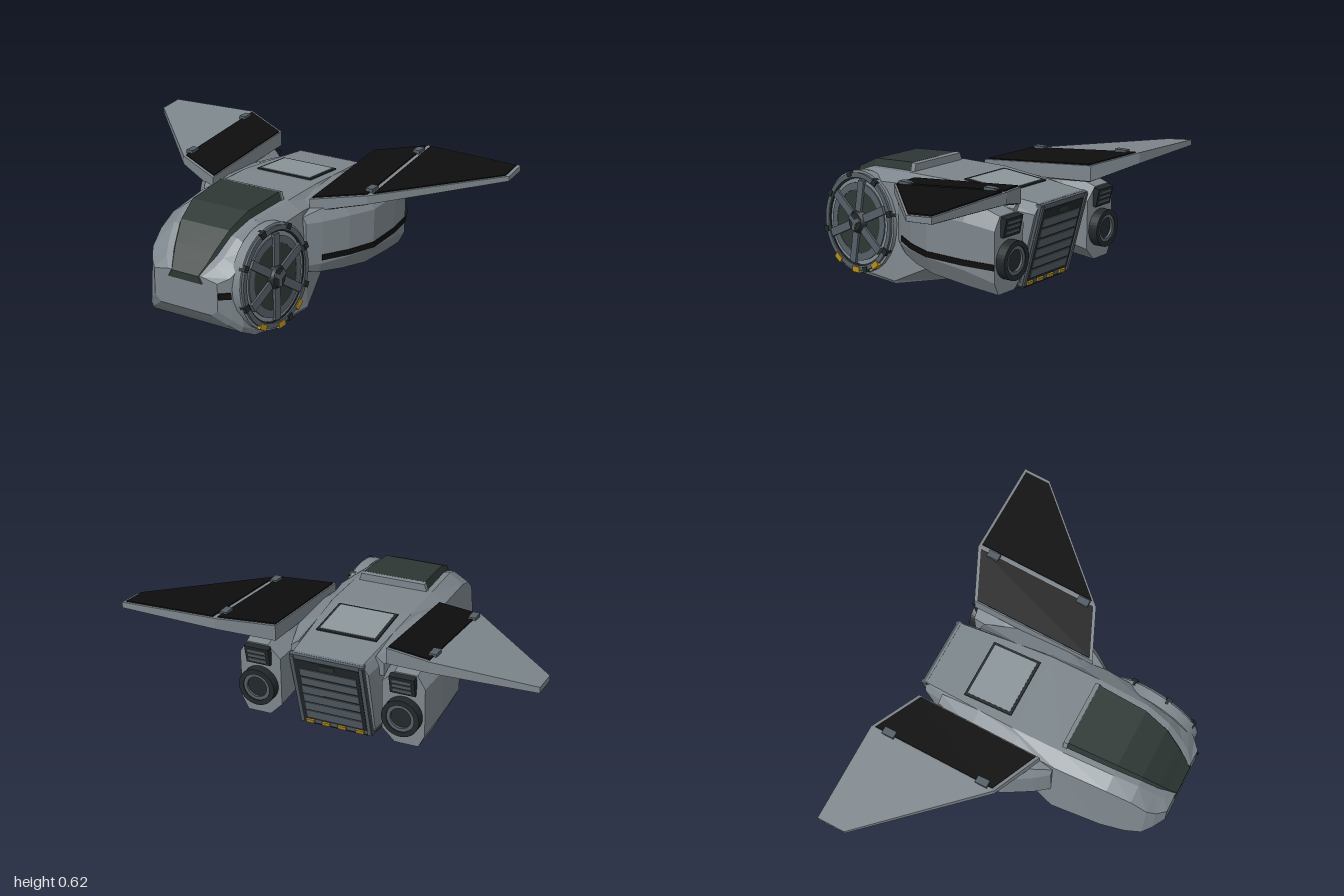
import * as THREE from 'three';

const mat = (name, color) => Object.assign(new THREE.MeshStandardMaterial({ color }), { name });
const HULL = mat('hull grey', 0x7d868c), LIGHT = mat('light panel', 0x8b959b), TRIM = mat('trim grey', 0x545d65);
const DARK = mat('dark metal', 0x22282a), GLASS = mat('dark green', 0x2d3734), BLACK = mat('black', 0x0d0d0d);
const YELLOW = mat('warning yellow', 0xb08a20);

function add(parent, name, geo, material, x = 0, y = 0, z = 0) {
  const m = new THREE.Mesh(geo, material);
  m.name = name;
  m.position.set(x, y, z);
  parent.add(m);
  return m;
}

// Flat-faced skin through rings; each ring runs counter-clockwise seen from the first end
function loft(rings) {
  const out = [], n = rings[0].length;
  const tri = (...p) => p.forEach(v => out.push(...v));
  for (let r = 0; r + 1 < rings.length; r++) {
    for (let i = 0; i < n; i++) {
      const j = (i + 1) % n, [a, b] = [rings[r], rings[r + 1]];
      tri(a[i], b[i], a[j]);
      tri(a[j], b[i], b[j]);
    }
  }
  const first = rings[0], last = rings[rings.length - 1];
  for (let i = 1; i < n - 1; i++) {
    tri(first[0], first[i], first[i + 1]);
    tri(last[0], last[i + 1], last[i]);
  }
  const g = new THREE.BufferGeometry();
  g.setAttribute('position', new THREE.Float32BufferAttribute(out, 3));
  g.computeVertexNormals();
  return g;
}

// Mirror a ring to the side s (+1 or -1)
const side = (s, ring) => s > 0 ? ring : ring.map(([x, y, z]) => [-x, y, z]).reverse();

// Thin plate over a polygon, shrunk by k toward its middle
function plate(pts, k = 0, t = 0.006) {
  const c = [0, 1, 2].map(a => pts.reduce((s, p) => s + p[a], 0) / pts.length);
  const base = pts.map(p => p.map((v, a) => v + (c[a] - v) * k));
  const [p, q, r] = base.map(v => new THREE.Vector3(...v));
  const n = q.clone().sub(p).cross(r.clone().sub(p)).normalize().multiplyScalar(t).toArray();
  return loft([base.map(v => v.map((w, a) => w + n[a])), base]);
}

function annulus(ro, ri, depth) {
  const s = new THREE.Shape().absarc(0, 0, ro, 0, Math.PI * 2);
  s.holes.push(new THREE.Path().absarc(0, 0, ri, 0, Math.PI * 2, true));
  return new THREE.ExtrudeGeometry(s, { depth, bevelEnabled: false, curveSegments: 20 });
}
const disc = (r, d) => new THREE.CylinderGeometry(r, r, d, 28).rotateX(Math.PI / 2);
const box = (x, y, z) => new THREE.BoxGeometry(x, y, z);

function buildHull(g) {
  // z, then x/y of bottom edge, lower side, shoulder, roof edge
  const sections = [
    [.68, .14, .15, .17, .18, .17, .31, .09, .325],
    [.64, .20, .10, .22, .13, .21, .33, .13, .365],
    [.60, .24, .06, .255, .09, .235, .37, .15, .40],
    [.52, .265, .02, .275, .05, .245, .43, .17, .475],
    [.40, .285, .01, .295, .03, .26, .47, .19, .52],
    [.14, .305, .005, .315, .02, .275, .49, .2, .53],
    [-.12, .17, .05, .26, .15, .26, .47, .2, .53],
    [-.3, .17, .08, .24, .16, .23, .46, .19, .515],
    [-.5, .17, .09, .19, .12, .195, .44, .17, .487],
  ];
  const rings = sections.map(([z, ...v], k) => {
    const pt = i => [v[i], v[i + 1], k === 8 ? -.5 - (v[i + 1] - .09) * .26 : z];
    const right = [0, 2, 4, 6].map(pt);
    return [...right, ...right.map(([x, y, w]) => [-x, y, w]).reverse()];
  });
  add(g, 'hull', loft(rings), HULL);

  // Raised canopy and its rear frame: z, half width, base y
  const can = (z, w, y, h = .04) => [[-w, y - .03, z], [w, y - .03, z], [w - .02, y + h, z], [-w + .02, y + h, z]];
  add(g, 'canopy', loft([can(.684, .09, .32, .005), can(.64, .11, .36, .012), can(.60, .125, .40, .022),
    can(.52, .15, .475, .025), can(.40, .17, .52, .035), can(.15, .18, .53)]), GLASS);
  add(g, 'canopyRearFrame', loft([can(.152, .185, .53), can(.13, .185, .53, .036)]), HULL);

  // Roof hatch
  const roof = new THREE.Group();
  roof.name = 'roofHatch';
  roof.position.set(0, .517, -.277);
  roof.rotation.x = -.086;
  add(roof, 'hatchFrame', box(.3, .012, .25), DARK);
  add(roof, 'hatchPanel', box(.274, .016, .224), LIGHT);
  g.add(roof);

  // Belly block
  const belly = (z, w, b, t) => [[-w * .75, b, z], [w * .75, b, z], [w, t, z], [-w, t, z]];
  add(g, 'bellyBlock', loft([belly(-.12, .16, .05, .065), belly(-.17, .2, .04, .1),
    belly(-.27, .21, .032, .105), belly(-.43, .2, .048, .11)]), GLASS);
  add(g, 'noseStripe', plate([[.173, .235, .681], [.22, .235, .641], [.216, .265, .641], [.172, .265, .681]]), BLACK);
}

function buildRearRamp(g) {
  const r = new THREE.Group();
  r.name = 'rearRamp';
  r.position.set(0, .287, -.553);
  r.rotation.x = -.255;
  add(r, 'rampFrame', box(.36, .41, .024), TRIM);
  add(r, 'rampRecess', box(.31, .36, .03), DARK);
  for (let i = 0; i < 6; i++) add(r, 'rampSlat', box(.28, .042, .038), TRIM, 0, -.145 + i * .051);
  add(r, 'rampSign', box(.07, .025, .036), GLASS, 0, .158, 0);
  for (const s of [-1, 1]) add(r, 'rampRail', box(.018, .40, .04), TRIM, s * .168);
  for (const x of [-.12, -.03, .05, .13]) add(r, 'warningMark', box(.04, .018, .045), YELLOW, x, -.19);
  g.add(r);
  add(g, 'rampHinge', new THREE.CylinderGeometry(.016, .016, .3, 10).rotateZ(Math.PI / 2), DARK, 0, .085, -.49);
}

function buildSideDoor(g) {
  const d = new THREE.Group();
  d.name = 'roundSideDoor';
  d.position.set(.278, .265, .39);
  d.quaternion.setFromUnitVectors(new THREE.Vector3(0, 0, 1), new THREE.Vector3(1, .085, .105).normalize());
  add(d, 'doorBase', disc(.25, .05), HULL, 0, 0, -.015);
  add(d, 'outerRing', annulus(.238, .215, .022), TRIM);
  add(d, 'rimLine', annulus(.217, .208, .014), DARK);
  add(d, 'innerRing', annulus(.19, .155, .016), TRIM);
  add(d, 'doorWindow', disc(.157, .012), GLASS, 0, 0, .008);
  for (let i = 0; i < 6; i++) {
    add(d, 'spoke', box(.04, .15, .026).translate(0, .128, .013), TRIM).rotation.z = i * Math.PI / 3;
  }
  add(d, 'hub', new THREE.CylinderGeometry(.045, .068, .036, 12).rotateX(Math.PI / 2), DARK, 0, 0, .02);
  for (let i = 0; i < 3; i++) {
    add(d, 'handleBlade', box(.022, .042, .01).translate(0, .02, .04), TRIM).rotation.z = (i * 2 + 1) * Math.PI / 3;
  }
  // Clips and warning marks around the rim
  const rim = (name, deg, w, material) => {
    add(d, name, box(.028, w, .034).translate(.235, 0, .01), material).rotation.z = deg * Math.PI / 180;
  };
  [-67, -23, 23, 67, 113, 157, 203].forEach(a => rim('rimClip', a, .03, DARK));
  [-117, -83, -48].forEach(a => rim('warningMark', a, .048, YELLOW));
  g.add(d);
}

function buildNacelle(g, s) {
  // z, inner x, outer x, bottom, top, chamfer
  const spec = [[.13, .18, .295, .19, .46, .03], [.065, .2, .345, .17, .48, .05], [-.06, .21, .42, .16, .505, .07],
    [-.2, .22, .475, .15, .515, .085], [-.41, .23, .475, .132, .52, .085], [-.57, .25, .455, .12, .475, .06]];
  const rings = spec.map(([z, i, o, b, t, c]) => side(s, [
    [i + c, b, z], [o - c * .5, b, z], [o, b + c, z], [o, t - c, z],
    [o - c * .6, t, z], [i + c, t, z], [i, t - c, z], [i, b + c, z]]));
  add(g, 'engineNacelle', loft(rings), HULL);

  // Side stripe on the model's left only
  if (s > 0) {
    for (let i = 1; i < 5; i++) {
      const [z0, , x0] = spec[i], [z1, , x1] = spec[i + 1];
      add(g, 'nacelleStripe', plate([[x0, .237, z0], [x1, .237, z1], [x1, .265, z1], [x0, .265, z0]], 0, .004), BLACK);
    }
  }
  // Exhaust
  const x = s * .355;
  add(g, 'exhaustHousing', annulus(.09, .066, .05), DARK, x, .27, -.615);
  add(g, 'exhaustRing', annulus(.068, .05, .04), TRIM, x, .27, -.61);
  add(g, 'exhaustCore', disc(.052, .03), DARK, x, .27, -.583);
  // Vent above the exhaust
  const v = new THREE.Group();
  v.name = 'rearVent';
  v.position.set(x, .425, -.58);
  v.rotation.x = -.2;
  add(v, 'ventFrame', box(.12, .09, .03), DARK);
  for (const dy of [-.024, 0, .024]) add(v, 'ventSlat', box(.09, .014, .038), TRIM, 0, dy);
  g.add(v);
}

function buildWing(g, s) {
  // Each station: front bottom, front top, rear top, rear bottom
  const root = [[.27, .465, .06], [.27, .525, .06], [.27, .58, -.57], [.27, .505, -.57]];
  const mid = [[.515, .515, -.045], [.515, .558, -.045], [.515, .618, -.68], [.515, .565, -.68]];
  const tip = [[1, .568, -.545], [1, .593, -.545], [1, .605, -.68], [1, .577, -.68]];
  const m = r => side(s, r);
  add(g, 'wing', loft([root, mid, tip].map(m)), HULL);
  add(g, 'innerWingTopPanel', plate(m([root[1], mid[1], mid[2], root[2]]), .05), BLACK);
  if (s > 0) add(g, 'outerWingTopPanel', plate(m([mid[1], tip[1], tip[2], mid[2]]), .07), BLACK);
  add(g, 'innerWingUnderPanel', plate(m([root[0], root[3], mid[3], mid[0]]), .04), GLASS);
  add(g, 'outerWingUnderPanel', plate(m([mid[0], mid[3], tip[3], tip[0]]), .09), BLACK);
  // Hinges along the fold
  for (const [y, z] of [[.57, -.11], [.615, -.59]]) {
    add(g, 'wingHinge', box(.035, .02, .06), TRIM, s * .505, y, z);
  }
  // Fairing joining the roof to the wing root
  const fair = (z, x, t) => side(s, [[.17, .4, z], [x, .4, z], [x, t - .03, z], [.19, t, z]]);
  add(g, 'wingRootFairing', loft([fair(.1, .26, .51), fair(-.08, .285, .525), fair(-.3, .285, .515), fair(-.5, .23, .49)]), HULL);
}

export function createModel() {
  const model = new THREE.Group();
  model.name = 'dropship';
  buildHull(model);
  buildRearRamp(model);
  buildSideDoor(model);
  for (const s of [1, -1]) {
    const half = new THREE.Group();
    half.name = s > 0 ? 'leftWingAndEngine' : 'rightWingAndEngine';
    buildNacelle(half, s);
    buildWing(half, s);
    model.add(half);
  }
  return model;
}
